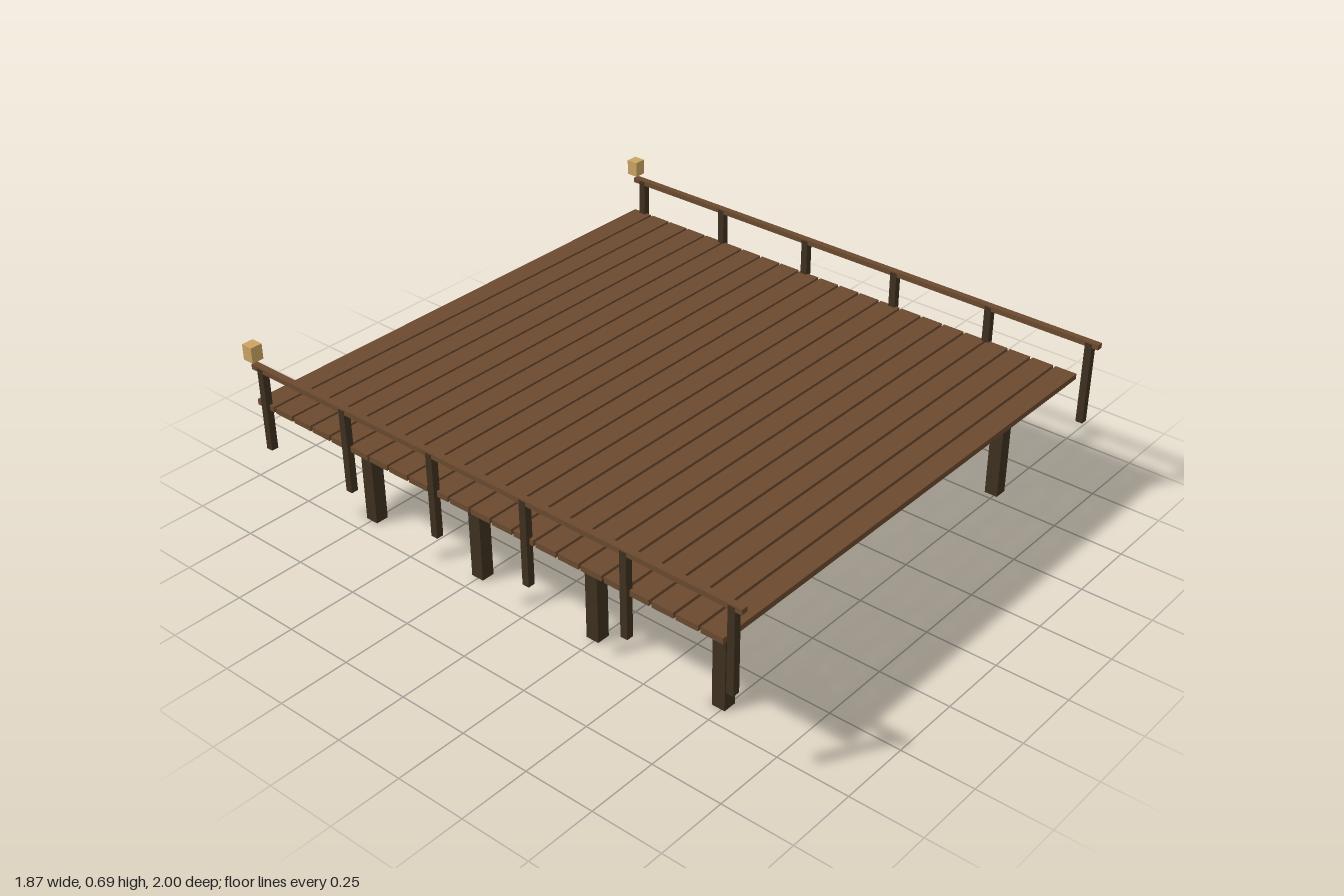
import * as THREE from 'three';

const material = (name, color) => {
  const m = new THREE.MeshStandardMaterial({ color });
  m.name = name;
  return m;
};

export function createModel() {
  const model = new THREE.Group();
  model.name = 'woodenDeck';

  const plankWood = material('plankBrown', 0x6b4a30);
  const darkWood = material('darkTimber', 0x3f3120);
  const lampGlow = material('lampAmber', 0xcca462);

  // Box given by its size, centre x and z, and bottom height
  const addBox = (name, mat, [w, h, d], x, bottom, z, parent) => {
    const mesh = new THREE.Mesh(new THREE.BoxGeometry(w, h, d), mat);
    mesh.name = name;
    mesh.position.set(x, bottom + h / 2, z);
    parent.add(mesh);
  };

  const addGroup = (name) => {
    const group = new THREE.Group();
    group.name = name;
    model.add(group);
    return group;
  };

  // Floor of evenly gapped planks
  const floor = addGroup('floor');
  const plankCount = 22, pitch = 0.0874, plankDepth = 0.078;
  for (let i = 0; i < plankCount; i++) {
    addBox('plank', plankWood, [1.826, 0.02, plankDepth], 0, 0.464, -0.945 + i * pitch, floor);
  }

  // Two rows of supporting legs, set off-centre
  const legs = addGroup('legs');
  for (const x of [-0.667, 0.796]) {
    for (let i = 0; i < 4; i++) {
      addBox('leg', darkWood, [0.048, 0.466, 0.048], x, 0, 0.738 - i * 0.4955, legs);
    }
  }

  // Railing with posts and a lamp at the back end on each side
  for (const side of [-1, 1]) {
    const railing = addGroup(side > 0 ? 'leftRailing' : 'rightRailing');
    const x = side * 0.913;
    for (let i = 0; i < 6; i++) {
      addBox('railPost', darkWood, [0.025, 0.297, 0.025], x, 0.318, 0.965 - i * 0.3806, railing);
    }
    addBox('handrail', plankWood, [0.023, 0.018, 1.978], x, 0.602, 0.011, railing);
    addBox('lamp', lampGlow, [0.043, 0.055, 0.043], x, 0.633, -0.978, railing);
  }

  return model;
}
